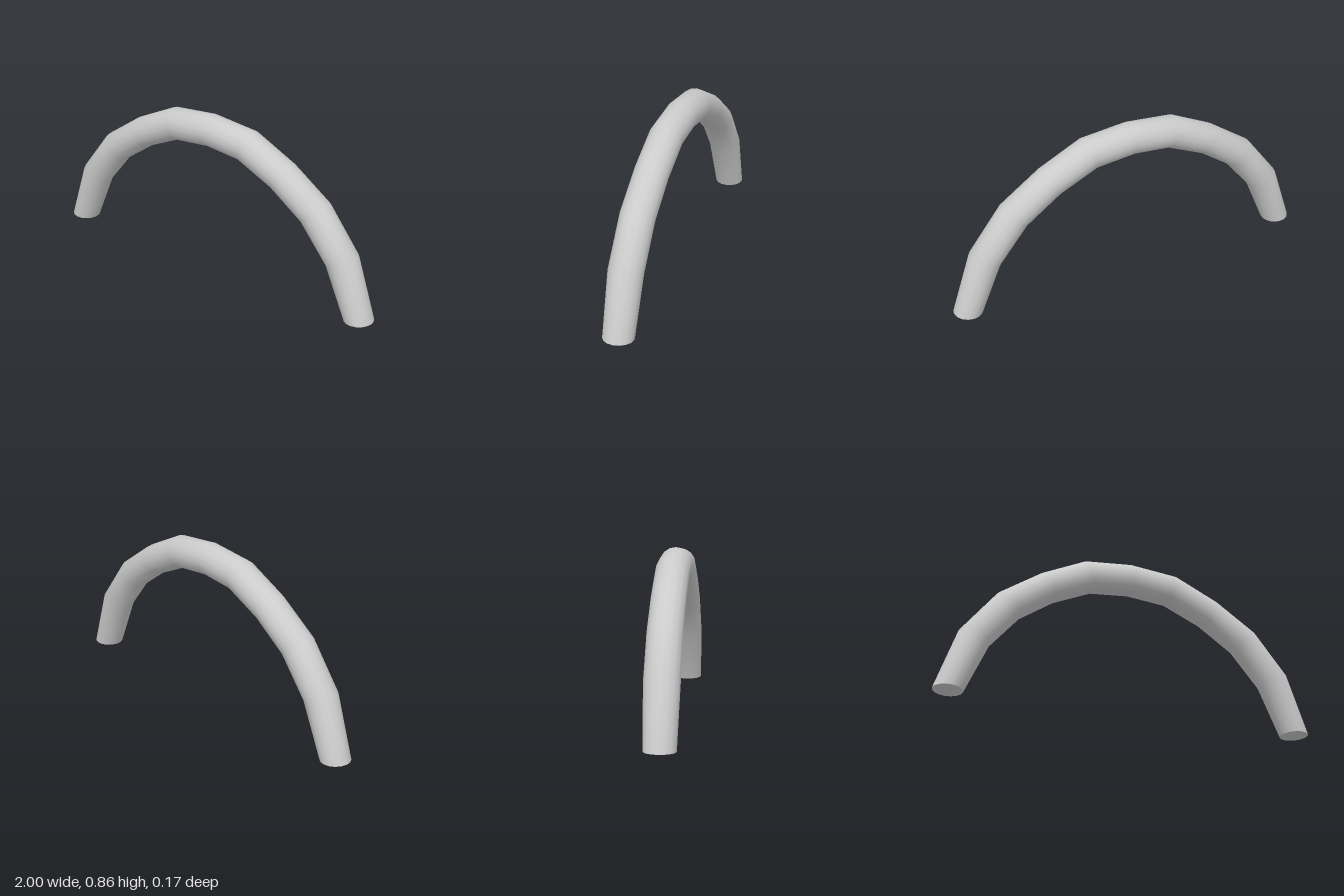
import * as THREE from 'three';

const SIDES = 16;

// Half of the arch, foot to crown: outer x, outer y, inner x, inner y, half depth
const HALF = [
  [1.0, 0.02, 0.85, 0.012, 0.077],
  [0.89, 0.34, 0.735, 0.275, 0.086],
  [0.71, 0.57, 0.585, 0.455, 0.086],
  [0.49, 0.72, 0.405, 0.58, 0.086],
  [0.255, 0.833, 0.205, 0.67, 0.086],
  [0, 0.858, 0, 0.69, 0.086],
];

// Points of one elliptical cross-section
function ringPoints([ox, oy, ix, iy, depth]) {
  const points = [];
  for (let j = 0; j < SIDES; j++) {
    const a = (j / SIDES) * Math.PI * 2;
    const t = (1 + Math.cos(a)) / 2;
    points.push(new THREE.Vector3(ix + (ox - ix) * t, iy + (oy - iy) * t, depth * Math.sin(a)));
  }
  return points;
}

function meshFrom(name, points, index, material) {
  const geometry = new THREE.BufferGeometry().setFromPoints(points);
  geometry.setIndex(index);
  geometry.computeVertexNormals();
  const mesh = new THREE.Mesh(geometry, material);
  mesh.name = name;
  return mesh;
}

export function createModel() {
  const group = new THREE.Group();
  group.name = 'arch';
  const material = new THREE.MeshStandardMaterial({ color: 0xcccccc });

  // Mirror the half profile into a full run from +x foot to -x foot
  const mirrored = HALF.slice(0, -1).reverse().map(([ox, oy, ix, iy, d]) => [-ox, oy, -ix, iy, d]);
  const rings = [...HALF, ...mirrored].map(ringPoints);

  // Bent tube
  const index = [];
  for (let i = 0; i < rings.length - 1; i++) {
    for (let j = 0; j < SIDES; j++) {
      const k = (j + 1) % SIDES;
      const a = i * SIDES + j, b = i * SIDES + k;
      const c = a + SIDES, d = b + SIDES;
      index.push(a, c, b, b, c, d);
    }
  }
  group.add(meshFrom('archTube', rings.flat(), index, material));

  // Shallow pointed caps under both feet
  for (const side of [1, -1]) {
    const ring = side > 0 ? rings[0] : rings[rings.length - 1];
    const points = [...ring, new THREE.Vector3(side * 0.92, 0, 0)];
    const fan = [];
    for (let j = 0; j < SIDES; j++) {
      const k = (j + 1) % SIDES;
      if (side > 0) fan.push(SIDES, j, k);
      else fan.push(SIDES, k, j);
    }
    group.add(meshFrom(side > 0 ? 'leftFootCap' : 'rightFootCap', points, fan, material));
  }
  return group;
}
